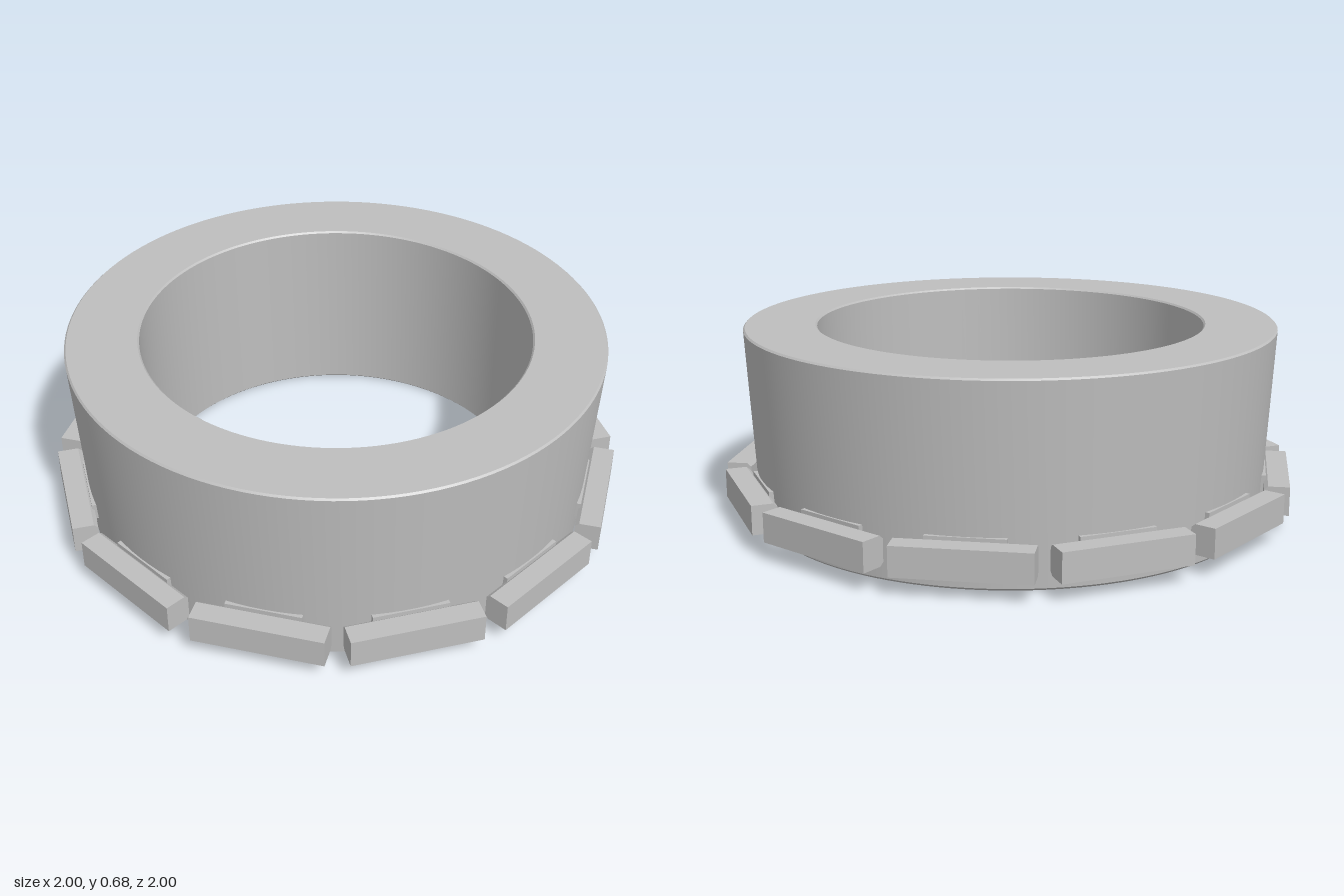
import * as THREE from 'three';
import { toCreasedNormals } from 'three/addons/utils/BufferGeometryUtils.js';

export function createModel() {
  const model = new THREE.Group();
  model.name = 'luggedRing';
  const grey = new THREE.MeshStandardMaterial({ color: 0xbebebe });
  grey.name = 'plain grey';

  // Thick ring flaring slightly upward, with tiny edge chamfers
  const profile = [
    [0.685, 0.006], [0.691, 0], [0.897, 0], [0.905, 0.008], [0.941, 0.674],
    [0.935, 0.68], [0.691, 0.68], [0.685, 0.674], [0.685, 0.006],
  ].map(([r, y]) => new THREE.Vector2(r, y));
  const ring = new THREE.Mesh(
    toCreasedNormals(new THREE.LatheGeometry(profile, 128), 0.5), grey);
  ring.name = 'ring';
  model.add(ring);

  // Lug cross-section (z, y), chamfered on its inner edges
  const section = new THREE.Shape([
    [1, 0.065], [1, 0.167], [0.926, 0.167], [0.912, 0.155],
    [0.912, 0.077], [0.926, 0.065],
  ].map(([z, y]) => new THREE.Vector2(z, y)));
  const lugGeometry = new THREE.ExtrudeGeometry(section, { depth: 0.45, bevelEnabled: false });
  lugGeometry.translate(0, 0, -0.225).rotateY(-Math.PI / 2);

  // Small mounting pads joining each lug to the ring
  const upperPad = new THREE.BoxGeometry(0.26, 0.06, 0.05).translate(0, 0.147, 0.895);
  const lowerPad = new THREE.BoxGeometry(0.14, 0.06, 0.05).translate(0, 0.087, 0.895);

  // Twelve lugs around the foot
  for (let i = 0; i < 12; i++) {
    const lug = new THREE.Group();
    lug.name = 'lug' + (i + 1);
    const parts = { lugBlock: lugGeometry, upperPad, lowerPad };
    for (const [name, geometry] of Object.entries(parts)) {
      const mesh = new THREE.Mesh(geometry, grey);
      mesh.name = name;
      lug.add(mesh);
    }
    lug.rotation.y = (i * Math.PI) / 6;
    model.add(lug);
  }
  return model;
}
